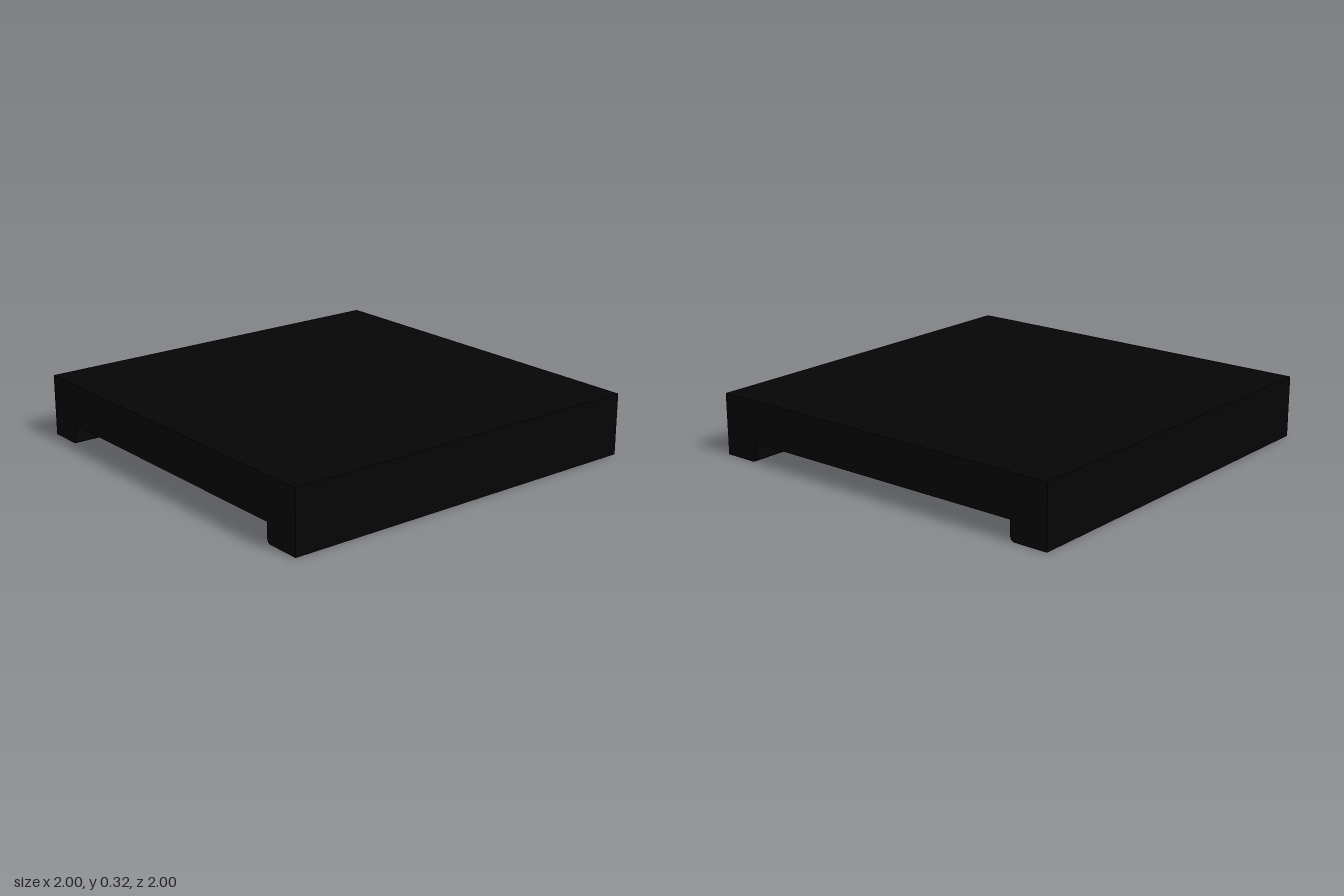
import * as THREE from 'three';

const HEIGHT = 0.317;   // overall height
const CEILING = 0.16;   // underside of the deck
const SLAT_Y = 0.1;     // underside of the slats
const RAIL_X = 0.8;     // inner face of the side rails

export function createModel() {
  const group = new THREE.Group();
  const material = new THREE.MeshStandardMaterial({ color: 0x050505 });

  const add = (name, geometry, x, y, z) => {
    const mesh = new THREE.Mesh(geometry, material);
    mesh.name = name;
    mesh.position.set(x, y, z);
    group.add(mesh);
    return mesh;
  };

  // Solid square deck
  add('deck', new THREE.BoxGeometry(2, HEIGHT - CEILING, 2), 0, (HEIGHT + CEILING) / 2, 0);

  // Side rails, with the inner bottom edge rounded
  const r = 0.025;
  const profile = new THREE.Shape();
  profile.moveTo(1, 0);
  profile.lineTo(1, CEILING);
  profile.lineTo(RAIL_X, CEILING);
  profile.lineTo(RAIL_X, r);
  profile.absarc(RAIL_X + r, r, r, Math.PI, Math.PI * 1.5, false);
  profile.closePath();
  const railGeometry = new THREE.ExtrudeGeometry(profile, { depth: 2, bevelEnabled: false, curveSegments: 6 });
  add('leftRail', railGeometry, 0, 0, -1);
  add('rightRail', railGeometry, 0, 0, 1).rotation.y = Math.PI;

  // Four slats under the deck, as wide as the gaps between them
  const width = 2 / 7;
  const slatGeometry = new THREE.BoxGeometry(2 * RAIL_X, CEILING - SLAT_Y, width);
  for (let i = 0; i < 4; i++) {
    add('slat' + (i + 1), slatGeometry, 0, (CEILING + SLAT_Y) / 2, -1 + width * (2 * i + 0.5));
  }

  return group;
}
